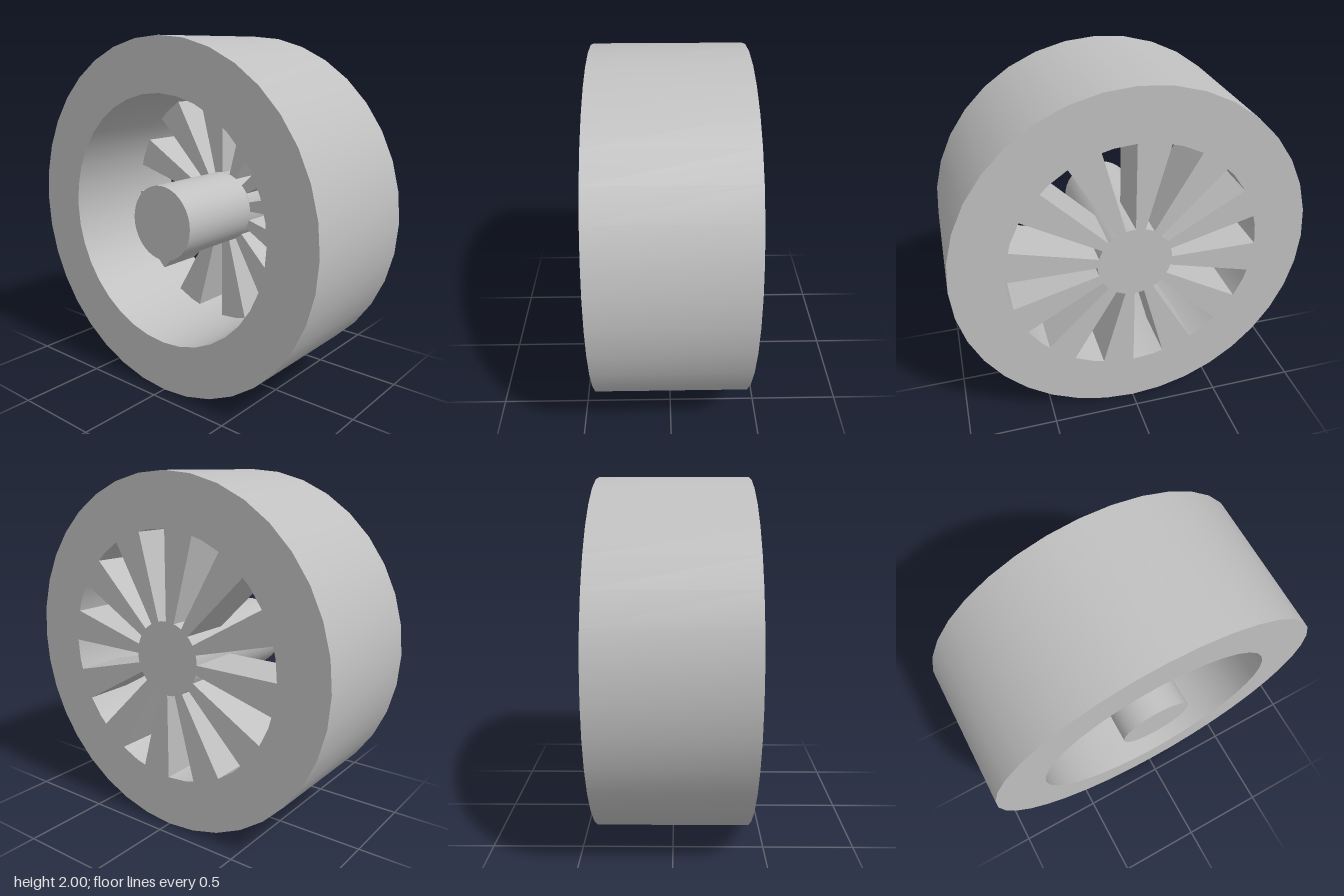
import * as THREE from 'three';
import { toCreasedNormals } from 'three/addons/utils/BufferGeometryUtils.js';

const HALF = 0.415;      // half the wheel width
const R = 1;             // outer radius
const BORE = 0.705;      // inside of the rim
const HUB = 0.21;        // hub radius
const DISC = 0.3;        // thickness of the spoked disc
const SPOKES = 12;
const SEGMENTS = 36;

export function createModel() {
  const group = new THREE.Group();
  const grey = new THREE.MeshStandardMaterial({ color: 0xc0c0c0 });
  grey.name = 'grey';

  const add = (name, geometry) => {
    const mesh = new THREE.Mesh(geometry, grey);
    mesh.name = name;
    mesh.position.y = R;
    group.add(mesh);
  };

  // Rim: a rectangular section turned round the x axis
  const section = [[BORE, -HALF], [R, -HALF], [R, HALF], [BORE, HALF], [BORE, -HALF]]
    .map(([r, h]) => new THREE.Vector2(r, h));
  const rim = new THREE.LatheGeometry(section, SEGMENTS).rotateZ(-Math.PI / 2);
  add('rim', toCreasedNormals(rim, Math.PI / 6));

  // Spoked disc: outline steps between the hub arc (gap) and the bore arc (spoke)
  const outline = [];
  const step = (Math.PI * 2) / SPOKES;
  const arc = (radius, from, to) => {
    for (let i = 0; i <= 3; i++) {
      const a = from + ((to - from) * i) / 3;
      outline.push(new THREE.Vector2(Math.cos(a) * radius, Math.sin(a) * radius));
    }
  };
  for (let k = 0; k < SPOKES; k++) {
    arc(HUB, k * step, (k + 0.5) * step);
    arc(BORE, (k + 0.5) * step, (k + 1) * step);
  }
  const disc = new THREE.ExtrudeGeometry(new THREE.Shape(outline), { depth: DISC, bevelEnabled: false })
    .rotateY(Math.PI / 2)
    .translate(HALF - DISC, 0, 0);
  add('spokes', toCreasedNormals(disc, Math.PI / 6));

  // Hub: runs from the disc to the open side
  const length = HALF * 2 - DISC;
  const hub = new THREE.CylinderGeometry(HUB, HUB, length, SEGMENTS)
    .rotateZ(-Math.PI / 2)
    .translate(-HALF + length / 2, 0, 0);
  add('hub', hub);

  return group;
}
